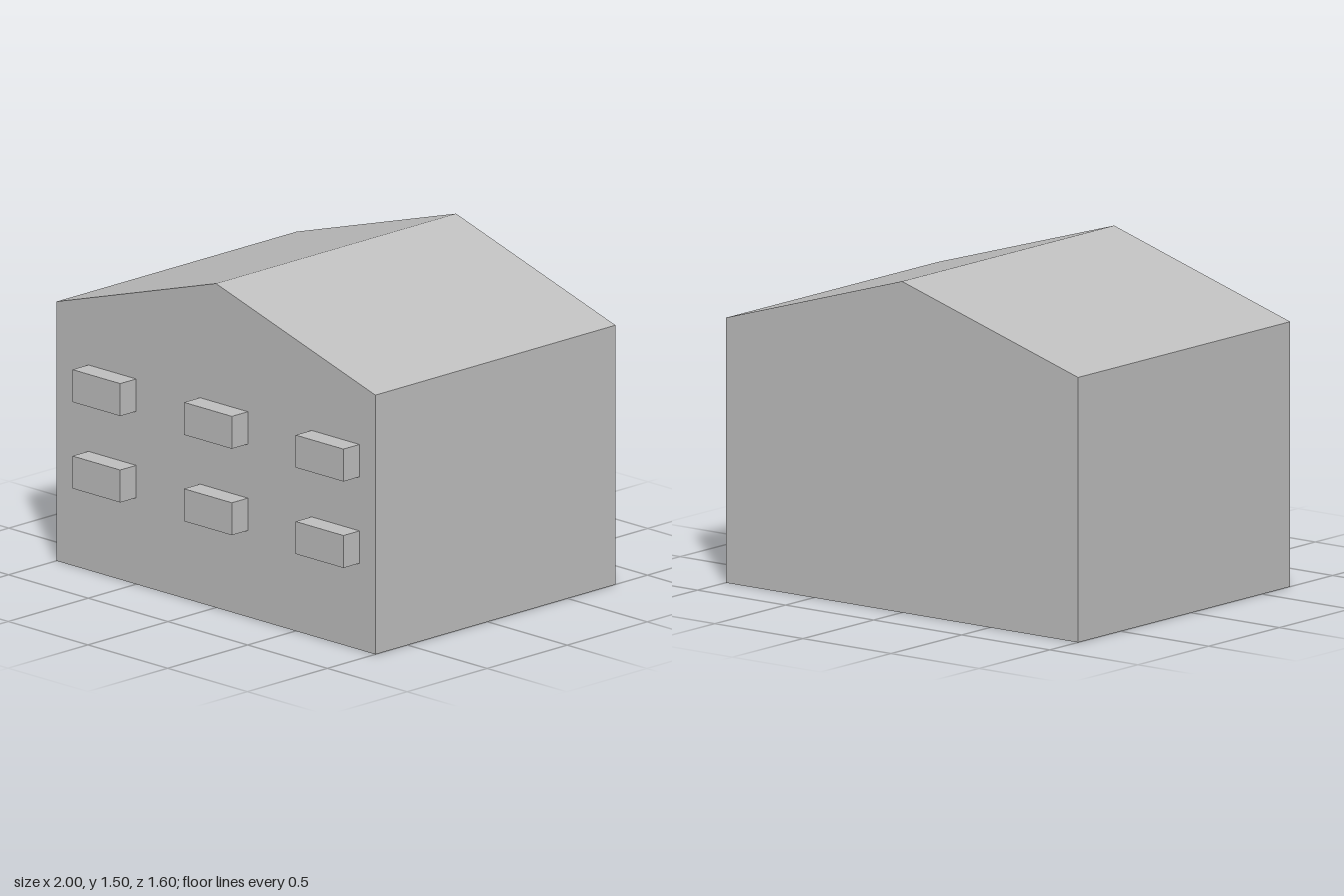
import * as THREE from 'three';

export function createModel() {
  const group = new THREE.Group();
  group.name = 'house';
  const grey = new THREE.MeshStandardMaterial({ color: 0xc0c0c0 });
  grey.name = 'plain grey';

  // Gabled body: the end outline extruded from back to front
  const outline = new THREE.Shape([
    [-1, 0], [1, 0], [1, 1.2], [0, 1.5], [-1, 1.2],
  ].map(([x, y]) => new THREE.Vector2(x, y)));
  const body = new THREE.Mesh(
    new THREE.ExtrudeGeometry(outline, { depth: 1.5, bevelEnabled: false }), grey);
  body.position.z = -0.8;
  body.name = 'gabledBody';
  group.add(body);

  // Two rows of three window boxes standing out from the front wall
  const boxGeometry = new THREE.BoxGeometry(0.3, 0.15, 0.1);
  for (const [row, y] of [['lower', 0.475], ['upper', 0.875]]) {
    for (const [column, x] of [['Right', -0.65], ['Middle', 0.05], ['Left', 0.75]]) {
      const box = new THREE.Mesh(boxGeometry, grey);
      box.position.set(x, y, 0.75);
      box.name = `${row}${column}WindowBox`;
      group.add(box);
    }
  }
  return group;
}
